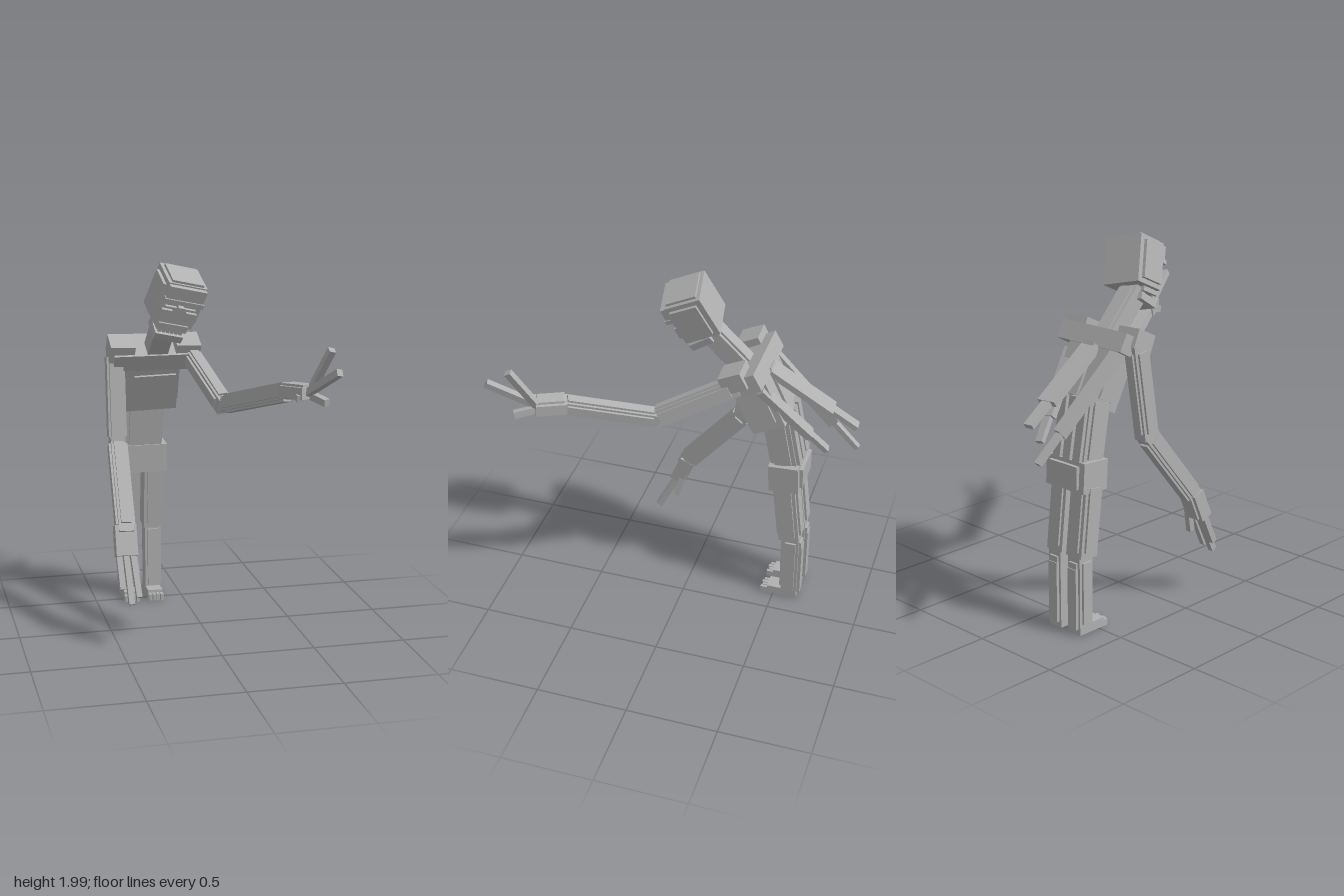
import * as THREE from 'three';

const grey = new THREE.MeshStandardMaterial({ color: 0xb0b0b0 });
grey.name = 'stone grey';

const V = (p) => new THREE.Vector3(...p);

function box(parent, name, size, pos) {
  const m = new THREE.Mesh(new THREE.BoxGeometry(...size), grey);
  m.name = name;
  m.position.set(...pos);
  parent.add(m);
  return m;
}

// Square limb running from a to b, w wide across x and d deep; panels are raised strips on its four faces
function beam(parent, name, a, b, w, d, panels = '', across = [1, 0, 0]) {
  const g = new THREE.Group();
  g.name = name;
  const A = V(a), B = V(b), y = B.clone().sub(A), len = y.length();
  y.normalize();
  const x = V(across).addScaledVector(y, -V(across).dot(y)).normalize();
  g.quaternion.setFromRotationMatrix(new THREE.Matrix4().makeBasis(x, y, x.clone().cross(y)));
  g.position.copy(A).add(B).multiplyScalar(0.5);
  box(g, name + 'Core', [w, len, d], [0, 0, 0]);
  const t = 0.012, h = len * 0.84;
  for (const p of panels) {
    if (p === 'f' || p === 'b') box(g, name + 'Panel', [w * 0.66, h, t], [0, 0, (p === 'f' ? 1 : -1) * (d + t) / 2]);
    else box(g, name + 'Panel', [t, h, d * 0.66], [(p === 'l' ? 1 : -1) * (w + t) / 2, 0, 0]);
  }
  parent.add(g);
  return g;
}

function addLegs(root) {
  for (const [side, x, out] of [['right', -0.3, 'r'], ['left', -0.16, 'l']]) {
    beam(root, side + 'Thigh', [x, 0.42, -0.58], [x, 0.82, -0.535], 0.108, 0.115, 'fb' + out);
    beam(root, side + 'Shin', [x, 0.03, -0.59], [x, 0.43, -0.59], 0.085, 0.09, 'fb' + out);
    box(root, side + 'Calf', [0.06, 0.33, 0.02], [x, 0.2, -0.642]);
    box(root, side + 'Foot', [0.085, 0.05, 0.17], [x, 0.027, -0.55]);
    for (let i = 0; i < 4; i++)
      box(root, side + 'Toe', [0.018, 0.036, 0.05], [x - 0.033 + i * 0.022, 0.018, -0.46 + (i % 2) * 0.008]);
  }
}

function addTorso(root) {
  const pelvis = box(root, 'pelvis', [0.27, 0.16, 0.165], [-0.225, 0.845, -0.535]);
  pelvis.rotation.x = 0.06;
  box(root, 'hipPlate', [0.2, 0.12, 0.02], [-0.225, 0.85, -0.625]);

  // Waist with slats running up the back
  const waist = beam(root, 'waist', [-0.23, 0.9, -0.53], [-0.225, 1.24, -0.465], 0.21, 0.14, 'lr');
  for (let i = -1; i <= 1; i++)
    box(waist, 'backSlat', [0.05, 0.32, 0.025], [i * 0.07, 0, -0.078]);
  box(waist, 'bellyPlate', [0.16, 0.26, 0.014], [0, 0, 0.075]);

  // Leaning chest
  const chest = beam(root, 'chest', [-0.195, 1.18, -0.457], [-0.205, 1.47, -0.315], 0.28, 0.19);
  box(chest, 'breastPlate', [0.23, 0.22, 0.016], [0.01, -0.03, 0.1]);
  for (const s of [-1, 1]) box(chest, 'sideRib', [0.016, 0.24, 0.12], [s * 0.145, 0, 0]);
  box(chest, 'spinePlate', [0.08, 0.28, 0.02], [0, 0, -0.1]);

  // Shoulder bar and pads
  const bar = box(root, 'shoulderBar', [0.45, 0.1, 0.2], [-0.2, 1.475, -0.315]);
  bar.rotation.x = 0.5;
  for (const [side, x] of [['right', -0.38], ['left', -0.018]]) {
    const pad = box(root, side + 'ShoulderPad', [0.135, 0.1, 0.13], [x, 1.505, -0.275]);
    pad.rotation.set(0.45, 0, -0.04);
  }

  beam(root, 'neck', [-0.19, 1.46, -0.3], [-0.175, 1.7, -0.06], 0.11, 0.1, 'b');
}

function addHead(root) {
  const head = new THREE.Group();
  head.name = 'head';
  const up = V([0.27, 0.88, 0.38]).normalize();
  const x = V([0.93, -0.3, -0.2]).addScaledVector(up, -V([0.93, -0.3, -0.2]).dot(up)).normalize();
  head.quaternion.setFromRotationMatrix(new THREE.Matrix4().makeBasis(x, up, x.clone().cross(up)));
  head.position.set(-0.13, 1.805, -0.01);
  root.add(head);

  box(head, 'skull', [0.22, 0.25, 0.2], [0, 0.005, -0.015]);
  box(head, 'crownPlate', [0.18, 0.016, 0.17], [0, 0.135, -0.01]);
  box(head, 'forehead', [0.21, 0.075, 0.03], [0, 0.085, 0.097]);
  box(head, 'brow', [0.22, 0.025, 0.04], [0, 0.04, 0.1]);
  for (const s of [-1, 1]) {
    box(head, 'sidePlate', [0.02, 0.2, 0.15], [s * 0.117, 0.005, -0.01]);
    box(head, 'cheek', [0.06, 0.07, 0.025], [s * 0.07, -0.055, 0.092]);
    box(head, 'eyeRim', [0.065, 0.012, 0.02], [s * 0.055, -0.005, 0.092]);
  }
  box(head, 'nose', [0.035, 0.06, 0.035], [0, -0.02, 0.098]);
  box(head, 'upperJaw', [0.17, 0.04, 0.12], [0, -0.125, 0.035]);
  const jaw = box(head, 'lowerJaw', [0.16, 0.04, 0.13], [0, -0.18, 0.03]);
  jaw.rotation.x = 0.15;
  for (let i = 0; i < 6; i++)
    box(head, 'tooth', [0.016, 0.022, 0.014], [-0.06 + i * 0.024, -0.152, 0.082]);
}

function addArms(root) {
  // Right arm hangs forward and down
  beam(root, 'rightUpperArm', [-0.41, 1.5, -0.3], [-0.415, 0.99, -0.22], 0.075, 0.1, 'lrf');
  beam(root, 'rightForearm', [-0.415, 1.02, -0.235], [-0.435, 0.58, 0.125], 0.08, 0.085, 'lrfb');
  beam(root, 'rightHand', [-0.437, 0.62, 0.1], [-0.44, 0.47, 0.165], 0.115, 0.075, 'f');
  const low = [
    [[-0.48, 0.49, 0.15], [-0.475, 0.31, 0.24]],
    [[-0.443, 0.49, 0.155], [-0.436, 0.24, 0.285]],
    [[-0.405, 0.49, 0.15], [-0.392, 0.27, 0.265]],
    [[-0.4, 0.52, 0.12], [-0.385, 0.37, 0.16]],
  ];
  for (const [a, b] of low) beam(root, 'rightFinger', a, b, 0.03, 0.034);

  // Left arm reaches out
  beam(root, 'leftUpperArm', [0.0, 1.47, -0.29], [0.1, 1.245, 0.13], 0.07, 0.095, 'lrb');
  beam(root, 'leftForearm', [0.095, 1.25, 0.1], [0.34, 1.405, 0.57], 0.075, 0.075, 'lrfb');
  beam(root, 'leftHand', [0.32, 1.4, 0.53], [0.4, 1.41, 0.67], 0.115, 0.06, 'b');
  const high = [
    [[0.405, 1.4, 0.64], [0.477, 1.64, 0.77]],
    [[0.385, 1.405, 0.66], [0.478, 1.55, 0.895]],
    [[0.4, 1.4, 0.64], [0.46, 1.375, 0.76]],
    [[0.35, 1.4, 0.6], [0.345, 1.385, 0.69]],
  ];
  for (const [a, b] of high) beam(root, 'leftFinger', a, b, 0.034, 0.036);
}

// Three long back spines, each a wide base with a thinner tip
function addSpines(root) {
  const spines = [
    [[-0.37, 1.47, -0.37], [-0.315, 0.985, -0.885], 0.04, 0.07],
    [[-0.21, 1.5, -0.37], [-0.255, 1.165, -0.885], 0.11, 0.035],
    [[-0.06, 1.43, -0.4], [-0.18, 1.035, -0.745], 0.07, 0.04],
  ];
  for (const [a, b, w, d] of spines) {
    const mid = V(a).lerp(V(b), 0.74).toArray();
    beam(root, 'backSpine', a, mid, w, d);
    beam(root, 'backSpineTip', V(a).lerp(V(b), 0.6).toArray(), b, w * 0.3 + 0.022, 0.028);
  }
}

export function createModel() {
  const root = new THREE.Group();
  root.name = 'figure';
  addLegs(root);
  addTorso(root);
  addHead(root);
  addArms(root);
  addSpines(root);
  return root;
}
